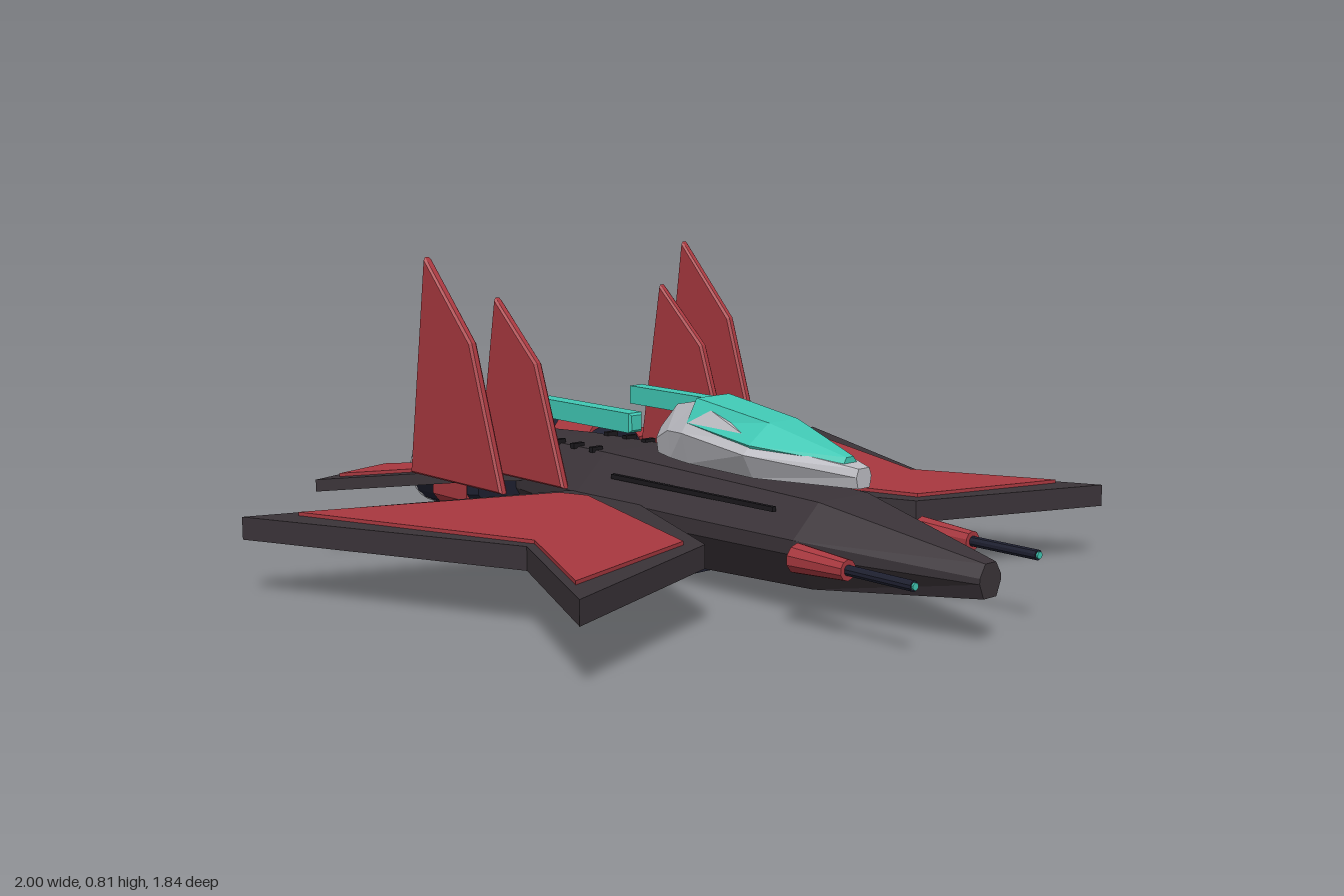
import * as THREE from 'three';

const mat = (name, color) => {
  const m = new THREE.MeshStandardMaterial({ color, flatShading: true });
  m.name = name;
  return m;
};

export function createModel() {
  const hull = mat('charcoal', 0x3a3338), red = mat('red', 0xa8383f), teal = mat('teal', 0x40c8b4);
  const grey = mat('light grey', 0xbcbcc2), navy = mat('navy', 0x1e2030), black = mat('black', 0x1a181c);
  const model = new THREE.Group();
  model.name = 'fighterCraft';

  const add = (name, geo, m, x = 0, y = 0, z = 0) => {
    const mesh = new THREE.Mesh(geo, m);
    mesh.name = name;
    mesh.position.set(x, y, z);
    model.add(mesh);
    return mesh;
  };
  const box = (name, m, w, h, d, x, y, z) => add(name, new THREE.BoxGeometry(w, h, d), m, x, y, z);
  const extrude = (pts, depth, bevel = 0) => new THREE.ExtrudeGeometry(
    new THREE.Shape(pts.map(p => new THREE.Vector2(p[0], p[1]))),
    { depth, bevelEnabled: bevel > 0, bevelSize: bevel, bevelThickness: bevel, bevelOffset: -bevel, bevelSegments: 1 });
  // Horizontal plate from an [x, z] outline, mirrored by s
  const plate = (name, m, s, pts, y0, y1) =>
    add(name, extrude(pts.map(([x, z]) => [x * s, -z]), y1 - y0).rotateX(-Math.PI / 2), m, 0, y0, 0);
  // Cylinder lying along z; rFront faces +z
  const tube = (name, m, rFront, rBack, z0, z1, x, y, sides = 16) =>
    add(name, new THREE.CylinderGeometry(rFront, rBack, z1 - z0, sides).rotateX(Math.PI / 2), m, x, y, (z0 + z1) / 2);

  // Flat-shaded skin over sections ordered front to back, each a counter-clockwise loop of [x, y]
  const loft = (sections) => {
    const pos = [];
    const rings = sections.map(({ z, pts }) => pts.map(([x, y]) => [x, y, z]));
    const n = rings[0].length;
    const tri = (a, b, c) => pos.push(...a, ...b, ...c);
    for (let r = 0; r < rings.length - 1; r++) {
      for (let i = 0; i < n; i++) {
        const j = (i + 1) % n, f = rings[r], k = rings[r + 1];
        tri(f[i], k[i], k[j]);
        tri(f[i], k[j], f[j]);
      }
    }
    const first = rings[0], last = rings[rings.length - 1];
    for (let i = 1; i < n - 1; i++) {
      tri(first[0], first[i], first[i + 1]);
      tri(last[0], last[i + 1], last[i]);
    }
    const g = new THREE.BufferGeometry();
    g.setAttribute('position', new THREE.Float32BufferAttribute(pos, 3));
    g.computeVertexNormals();
    return g;
  };

  // Fuselage: faceted spindle, [z, half width, bottom, top]
  add('fuselage', loft([
    [0.92, 0.037, 0.115, 0.195], [0.47, 0.17, 0.067, 0.275], [0.1, 0.185, 0.052, 0.285],
    [-0.3, 0.2, 0.045, 0.295], [-0.58, 0.175, 0.06, 0.292], [-0.9, 0.1, 0.085, 0.28],
  ].map(([z, w, b, t]) => {
    const h = t - b;
    return { z, pts: [[w, b + h * 0.45], [w, b + h * 0.62], [w * 0.5, t], [-w * 0.5, t],
      [-w, b + h * 0.62], [-w, b + h * 0.45], [-w * 0.6, b], [w * 0.6, b]] };
  })), hull);

  // Cockpit pod: [z, bottom half width, waist half width, top half width, bottom, waist, top]
  const podSection = ([z, a, w, c, b, m, t]) => ({ z, pts: [[a, b], [w, m], [c, t], [-c, t], [-w, m], [-a, b]] });
  add('cockpitPod', loft([
    [0.535, 0.02, 0.026, 0.018, 0.307, 0.335, 0.355], [0.26, 0.1, 0.132, 0.1, 0.305, 0.365, 0.395],
    [0.01, 0.085, 0.108, 0.052, 0.305, 0.385, 0.462], [-0.07, 0.075, 0.085, 0.05, 0.308, 0.38, 0.445],
    [-0.135, 0.06, 0.066, 0.05, 0.312, 0.35, 0.378],
  ].map(podSection)), grey);
  add('canopy', loft([
    [0.49, 0.018, 0.022, 0.012, 0.345, 0.362, 0.376], [0.265, 0.1, 0.118, 0.05, 0.36, 0.388, 0.436],
    [0.01, 0.06, 0.09, 0.056, 0.37, 0.41, 0.47],
  ].map(podSection)), teal);

  // Belly hatch
  box('bellyHatch', navy, 0.18, 0.03, 0.3, 0, 0.034, -0.13);

  for (const s of [1, -1]) {
    // Swept wings with a red inlay
    plate('wing', hull, s, [[0.17, -0.1], [0.365, 0.38], [0.89, 0.575], [0.68, 0.12], [1, -0.61], [0.22, -0.335], [0.17, -0.3]], 0.145, 0.202);
    plate('wingInlay', red, s, [[0.235, -0.21], [0.405, 0.35], [0.82, 0.475], [0.65, 0.11], [0.89, -0.53], [0.265, -0.29]], 0.202, 0.211);

    // Tail planes
    plate('tailPlane', hull, s, [[0.15, -0.55], [0.3, -0.65], [0.67, -0.815], [0.43, -0.88], [0.3, -0.8], [0.15, -0.75]], 0.19, 0.222);
    plate('tailPlaneInlay', red, s, [[0.17, -0.59], [0.3, -0.68], [0.6, -0.81], [0.43, -0.852], [0.3, -0.77], [0.17, -0.7]], 0.222, 0.231);

    // Upright fins, outer and inner, outlines in [z, y]
    const fin = (name, x, pts) =>
      add(name, extrude(pts, 0.012, 0.006).rotateY(-Math.PI / 2).translate(0.006, 0, 0), red, x * s);
    fin('outerFin', 0.447, [[-0.28, 0.232], [-0.4, 0.605], [-0.6, 0.812], [-0.685, 0.232]]);
    fin('innerFin', 0.287, [[-0.232, 0.232], [-0.34, 0.545], [-0.515, 0.702], [-0.6, 0.232]]);

    // Engines: collar, red cowl, nozzle, rim, vanes and glow
    const ex = 0.2 * s, ey = 0.192;
    tube('engineCollar', navy, 0.1, 0.113, -0.645, -0.605, ex, ey, 10);
    const cowl = new THREE.CylinderGeometry(1, 1, 0.16, 8).rotateY(Math.PI / 8).rotateX(Math.PI / 2);
    add('engineCowl', cowl.scale(0.117, 0.14, 1), red, ex, ey, -0.722);
    tube('engineNozzle', navy, 0.106, 0.106, -0.912, -0.8, ex, ey, 20);
    add('nozzleRim', new THREE.TorusGeometry(0.097, 0.011, 6, 24), grey, ex, ey, -0.913);
    tube('engineGlow', teal, 0.05, 0.05, -0.919, -0.9, ex, ey, 16);
    for (let i = 0; i < 10; i++) {
      const a = i * Math.PI / 5;
      const vane = box('nozzleVane', black, 0.036, 0.01, 0.012, ex + Math.cos(a) * 0.07, ey + Math.sin(a) * 0.07, -0.912);
      vane.rotation.z = a;
    }

    // Nose guns
    const gx = 0.216 * s, gy = 0.172;
    tube('gunHousing', red, 0.025, 0.036, 0.53, 0.69, gx, gy, 10);
    tube('gunBarrel', navy, 0.013, 0.013, 0.69, 0.885, gx, gy, 10);
    tube('gunTip', teal, 0.009, 0.009, 0.885, 0.89, gx, gy, 10);

    // Teal power rails
    add('powerRail', extrude([[-0.022, -0.025], [0.022, -0.025], [0.022, 0.025], [-0.022, 0.025]], 0.378, 0.006), teal, 0.162 * s, 0.405, -0.484);

    // Shoulder slots, deck vents and belly runners
    const slot = box('shoulderSlot', black, 0.012, 0.012, 0.58, 0.142 * s, 0.25, 0.08);
    slot.rotation.y = -0.03 * s;
    for (const z of [-0.35, -0.43, -0.51]) box('deckVent', black, 0.036, 0.014, 0.016, 0.092 * s, 0.296, z);
    box('bellyRunner', grey, 0.014, 0.012, 0.18, 0.107 * s, 0.007, -0.13);
  }
  return model;
}
